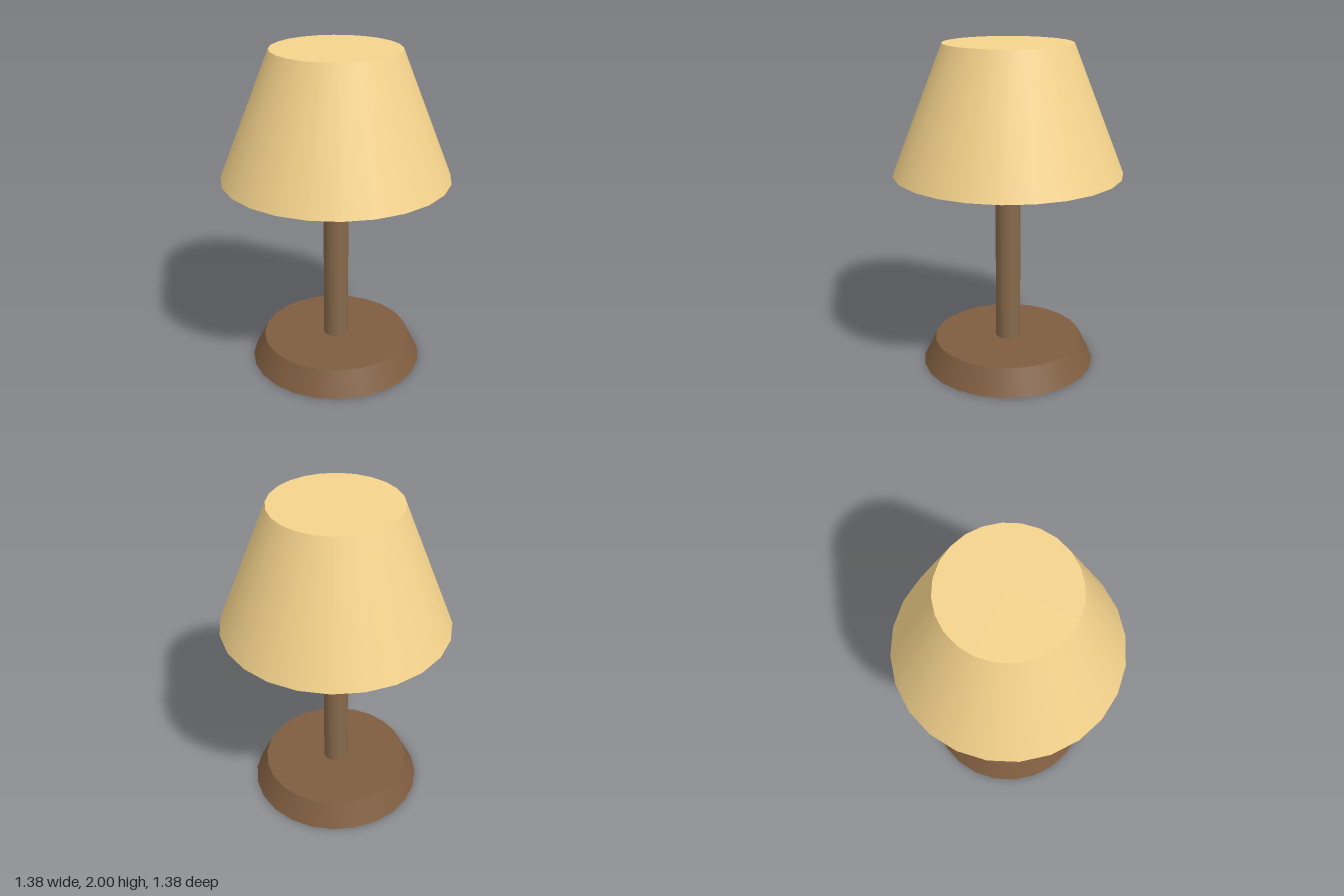
import * as THREE from 'three';

// Adds a closed, smooth-sided tapered cylinder standing between two heights.
function addPart(group, name, rTop, rBottom, y0, y1, color) {
  const geometry = new THREE.CylinderGeometry(rTop, rBottom, y1 - y0, 24);
  geometry.translate(0, (y0 + y1) / 2, 0);
  const mesh = new THREE.Mesh(geometry, new THREE.MeshStandardMaterial({ color }));
  mesh.name = name;
  group.add(mesh);
}

export function createModel() {
  const lamp = new THREE.Group();
  lamp.name = 'tableLamp';

  // Flared foot
  addPart(lamp, 'base', 0.462, 0.538, 0, 0.154, 0x7f5d40);
  // Straight post from foot to shade
  addPart(lamp, 'post', 0.077, 0.077, 0.154, 1.231, 0x86694b);
  // Closed conical shade
  addPart(lamp, 'shade', 0.385, 0.692, 1.231, 2, 0xf5d38c);

  return lamp;
}
